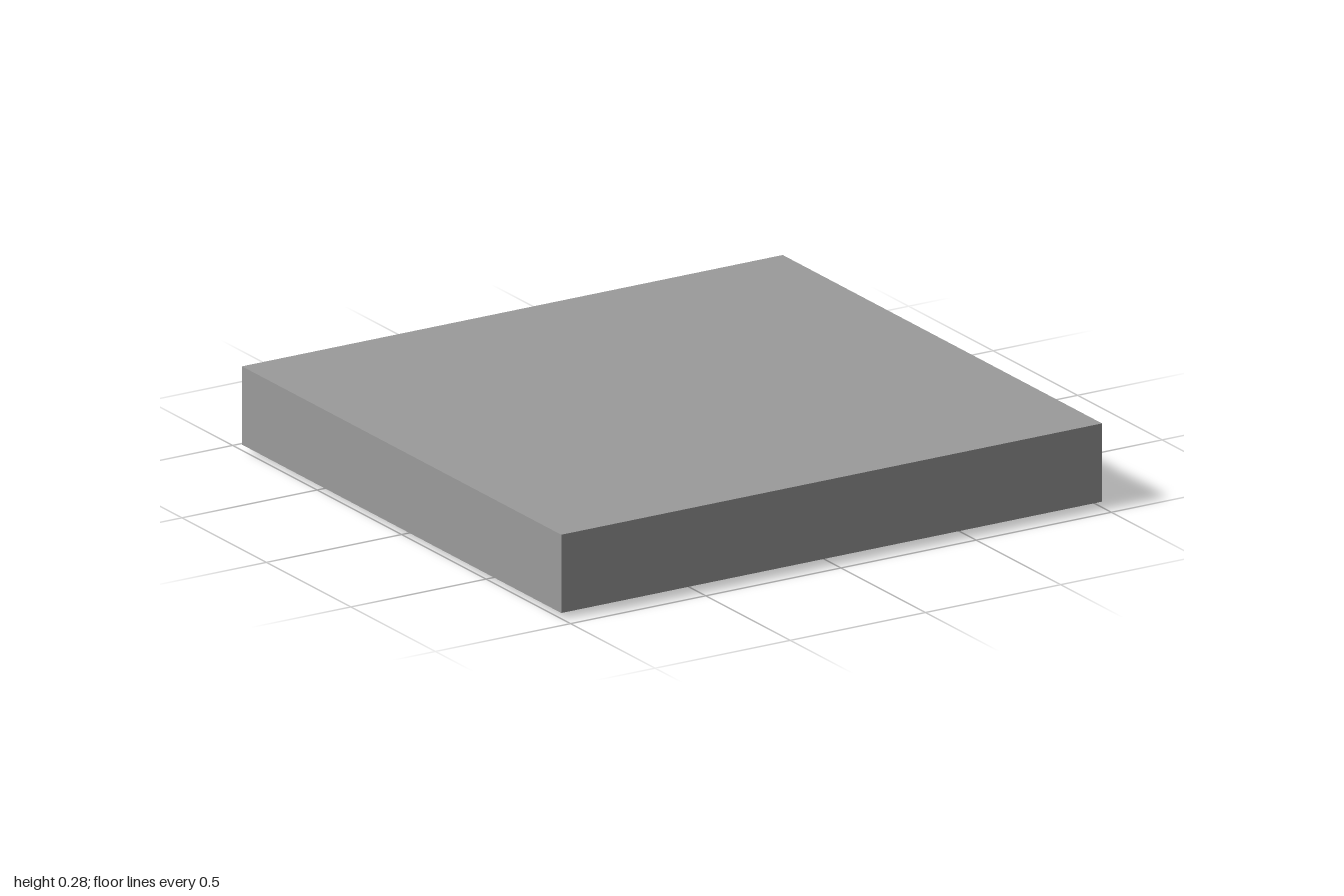
import * as THREE from 'three';
import { toCreasedNormals } from 'three/addons/utils/BufferGeometryUtils.js';

// Skin rectangular sections [halfX, halfZ, y], capping the first and last.
function rectangularShell(sections) {
  const corners = [[1, 1], [1, -1], [-1, -1], [-1, 1]];
  const loops = sections.map(([hx, hz, y]) =>
    corners.map(([sx, sz]) => [sx * hx, y, sz * hz]));
  const positions = [];
  const quad = (a, b, c, d) => positions.push(...a, ...b, ...c, ...a, ...c, ...d);

  quad(...loops[0]);
  for (let k = 0; k < loops.length - 1; k++) {
    for (let i = 0; i < 4; i++) {
      const j = (i + 1) % 4;
      quad(loops[k][i], loops[k + 1][i], loops[k + 1][j], loops[k][j]);
    }
  }
  // The recess ceiling faces down
  quad(...loops[loops.length - 1].slice().reverse());

  const geometry = new THREE.BufferGeometry();
  geometry.setAttribute('position', new THREE.Float32BufferAttribute(positions, 3));
  geometry.computeVertexNormals();
  return geometry;
}

export function createModel() {
  const group = new THREE.Group();
  group.name = 'flatTile';
  const bodyGrey = new THREE.MeshStandardMaterial({ color: 0x9b9b9b });
  const lightGrey = new THREE.MeshStandardMaterial({ color: 0xcccccc });

  const halfX = 1, halfZ = 0.945, wall = 0.188;
  const topY = 0.279, rimY = 0.019, ceilingY = 0.2;

  // Tile body: flat top, outer sides, bottom rim and hollow underside
  const body = new THREE.Mesh(rectangularShell([
    [halfX, halfZ, topY],
    [halfX, halfZ, rimY],
    [halfX - wall, halfZ - wall, rimY],
    [halfX - wall, halfZ - wall, ceilingY],
  ]), bodyGrey);
  body.name = 'tileBody';
  group.add(body);

  // Round foot: an 18-sided ring with corners on the x axis
  const sides = 18, outerR = 0.508, innerR = 0.423, dishY = 0.04;
  const foot = new THREE.Group();
  foot.name = 'roundFoot';
  foot.position.set(-0.003, 0, 0.004);
  foot.rotation.y = Math.PI / 2;
  group.add(foot);

  const profile = [
    [innerR, dishY], [innerR, 0], [outerR, 0], [outerR, ceilingY],
  ].map(([r, y]) => new THREE.Vector2(r, y));
  const ring = new THREE.Mesh(
    toCreasedNormals(new THREE.LatheGeometry(profile, sides), 0.6), bodyGrey);
  ring.name = 'footRing';
  foot.add(ring);

  // Lighter disc closing the ring, facing down
  const disc = new THREE.Mesh(
    new THREE.CircleGeometry(innerR, sides, Math.PI / 2).rotateX(Math.PI / 2), lightGrey);
  disc.name = 'footDisc';
  disc.position.y = dishY;
  foot.add(disc);

  return group;
}
